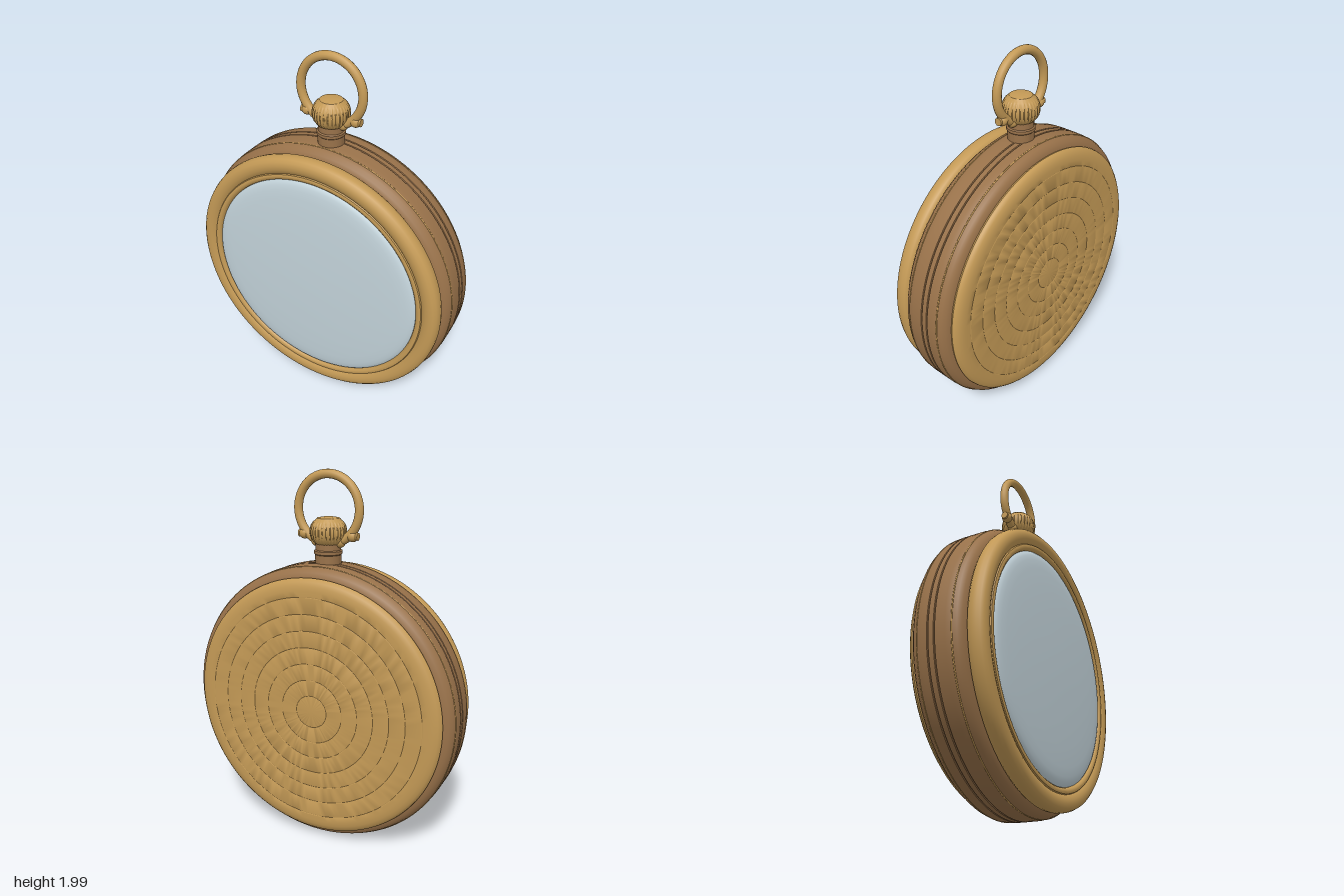
import * as THREE from 'three';
import { toCreasedNormals } from 'three/addons/utils/BufferGeometryUtils.js';

const CY = 0.77;      // height of the case axis
const STEM_Z = -0.015; // plane of the stem, crown and bow

export function createModel() {
  const group = new THREE.Group();
  const material = (name, color) => {
    const m = new THREE.MeshStandardMaterial({ color });
    m.name = name;
    return m;
  };
  const gold = material('gold', 0xc49a56);
  const bronze = material('bronze', 0x99724a);
  const glass = material('glass', 0xc3d3da);

  const add = (name, geometry, mat, x = 0, y = 0, z = 0) => {
    const mesh = new THREE.Mesh(geometry, mat);
    mesh.name = name;
    mesh.position.set(x, y, z);
    group.add(mesh);
    return mesh;
  };
  const lathe = (profile, segments) =>
    new THREE.LatheGeometry(profile.map(([r, h]) => new THREE.Vector2(r, h)), segments);
  // Turned parts whose axis points to the front; profile is [radius, z]
  const disc = (name, profile, mat) =>
    add(name, toCreasedNormals(lathe(profile, 128).rotateX(Math.PI / 2), 0.6), mat, 0, CY, 0);

  // Rounded case body with two fine seams
  disc('caseBody', [
    [0, -0.175], [0.69, -0.175], [0.712, -0.172], [0.732, -0.163], [0.748, -0.148],
    [0.758, -0.125], [0.762, -0.095], [0.763, -0.068], [0.758, -0.066], [0.758, -0.062],
    [0.763, -0.06], [0.763, -0.033], [0.758, -0.031], [0.758, -0.027], [0.763, -0.025],
    [0.763, 0.03], [0.759, 0.06], [0.75, 0.083], [0.735, 0.1], [0.715, 0.11],
    [0.69, 0.115], [0, 0.115],
  ], bronze);

  // Thin gold lines on the band
  for (const [z, r] of [[0.06, 0.757], [-0.125, 0.756]]) {
    add('bandLine', new THREE.TorusGeometry(r, 0.004, 6, 128), gold, 0, CY, z);
  }

  // Rounded bezel with a stepped inner lip
  disc('bezel', [
    [0.6, 0.112], [0.705, 0.112], [0.722, 0.118], [0.732, 0.13], [0.737, 0.15],
    [0.736, 0.17], [0.729, 0.188], [0.715, 0.2], [0.695, 0.205], [0.675, 0.203],
    [0.657, 0.196], [0.65, 0.19], [0.646, 0.196], [0.637, 0.199], [0.626, 0.197],
    [0.617, 0.19], [0.612, 0.175], [0.6, 0.112],
  ], gold);

  // Shallow domed crystal with a rolled edge
  disc('crystal', [
    [0.614, 0.15], [0.614, 0.184], [0.605, 0.192], [0.59, 0.198], [0.565, 0.203],
    [0.52, 0.207], [0.42, 0.212], [0.3, 0.216], [0.15, 0.219], [0, 0.22],
  ], glass);

  // Back lid with concentric engraved rings
  const lid = [[0, -0.219]];
  for (let i = 1; i <= 7; i++) {
    const r = 0.088 * i;
    lid.push([r - 0.003, -0.219], [r, -0.217], [r + 0.003, -0.219]);
  }
  lid.push([0.648, -0.219], [0.672, -0.216], [0.693, -0.208], [0.707, -0.196],
    [0.71, -0.185], [0.706, -0.175], [0.695, -0.168], [0, -0.168]);
  disc('backLid', lid, gold);

  // Stem with collars
  add('stem', toCreasedNormals(lathe([
    [0, 1.48], [0.068, 1.48], [0.068, 1.575], [0.073, 1.58], [0.073, 1.595],
    [0.066, 1.6], [0.066, 1.632], [0.05, 1.645], [0, 1.645],
  ], 48), 0.6), bronze, 0, 0, STEM_Z);

  // Crown: onion shape, knurled around its middle
  const crown = lathe([
    [0, 1.62], [0.055, 1.622], [0.075, 1.637], [0.09, 1.658], [0.096, 1.682],
    [0.096, 1.702], [0.09, 1.724], [0.078, 1.742], [0.065, 1.752], [0.058, 1.76],
    [0.03, 1.765], [0, 1.766],
  ], 120);
  const p = crown.attributes.position;
  for (let i = 0; i < p.count; i++) {
    const segment = Math.floor(i / 12) % 120;
    const y = p.getY(i);
    if (y > 1.63 && y < 1.745 && segment % 4 < 2) {
      p.setX(i, p.getX(i) * 0.965);
      p.setZ(i, p.getZ(i) * 0.965);
    }
  }
  add('crown', toCreasedNormals(crown, 0.5), gold, 0, 0, STEM_Z);

  // Bow: open ring whose ends run into the stem
  const points = [];
  for (let i = 0; i <= 24; i++) {
    const a = -1.18 + (i / 24) * (Math.PI + 2.36);
    points.push(new THREE.Vector3(0.172 * Math.cos(a), 1.803 + 0.174 * Math.sin(a), STEM_Z));
  }
  add('bow', new THREE.TubeGeometry(new THREE.CatmullRomCurve3(points), 96, 0.023, 14), gold);

  // Bow screws on both sides
  for (const s of [-1, 1]) {
    add('bowKnob', new THREE.SphereGeometry(0.029, 20, 14), gold, s * 0.137, 1.675, STEM_Z);
    const screw = new THREE.CylinderGeometry(0.02, 0.02, 0.05, 16).rotateZ(Math.PI / 2);
    add('bowScrew', toCreasedNormals(screw, 0.6), gold, s * 0.143, 1.675, STEM_Z);
    add('bowEnd', new THREE.SphereGeometry(0.03, 20, 14), gold, s * 0.066, 1.642, STEM_Z);
  }

  return group;
}
